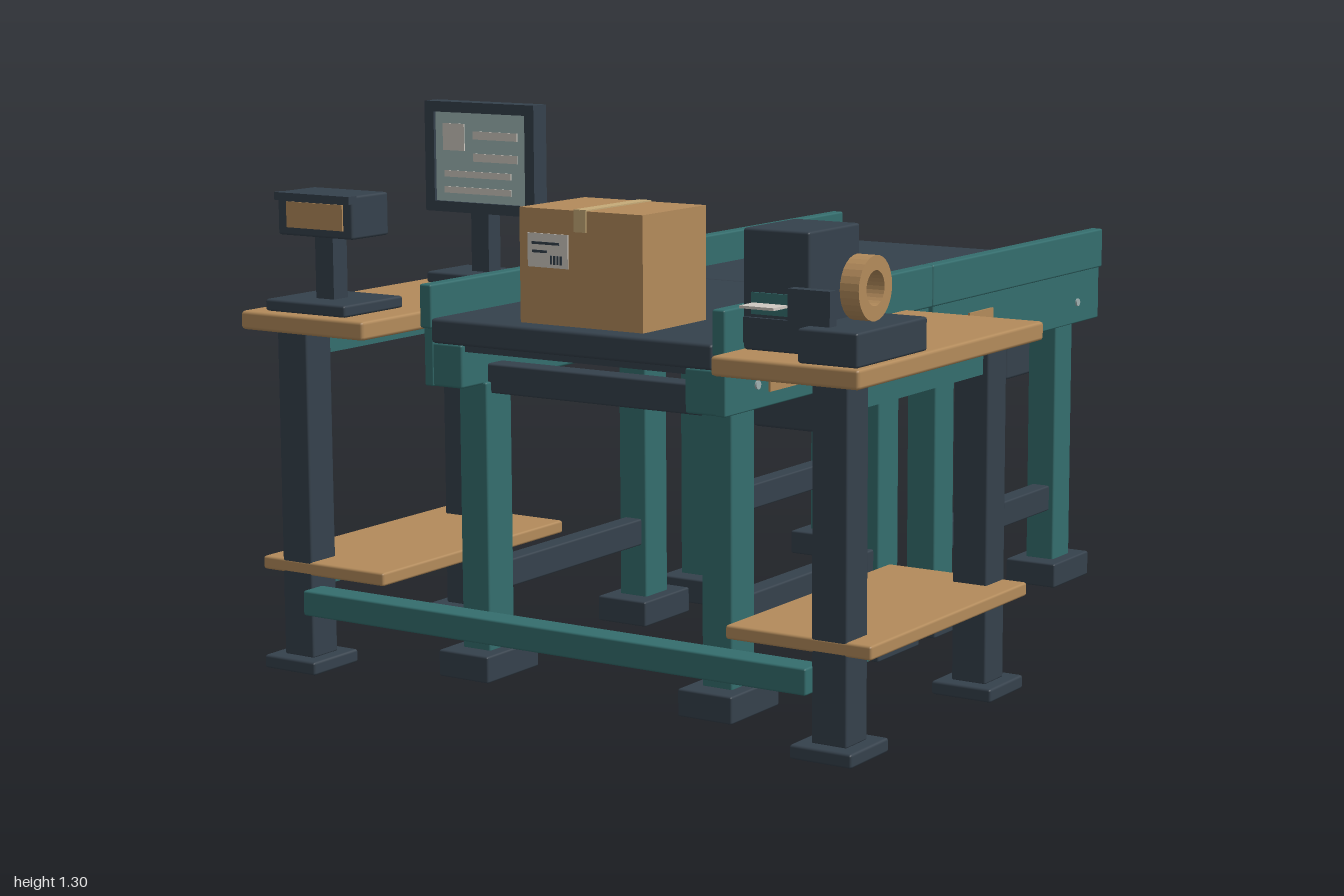
import * as THREE from 'three';
import { RoundedBoxGeometry } from 'three/addons/geometries/RoundedBoxGeometry.js';

const material = (name, color) => Object.assign(new THREE.MeshStandardMaterial({ color }), { name });

export function createModel() {
  const dark = material('slate metal', 0x35414c);
  const teal = material('teal metal', 0x346e6e);
  const tan = material('tan wood and card', 0xb38b5b);
  const screenMat = material('screen', 0xa0b8b7);
  const paper = material('paper', 0xcfcac2);
  const tapeMat = material('packing tape', 0xc6ab78);
  const steel = material('bolt steel', 0x9fb0b0);

  const model = new THREE.Group();
  model.name = 'packingStation';
  const group = (name, parent = model) => {
    const g = new THREE.Group();
    g.name = name;
    parent.add(g);
    return g;
  };
  // Box given by its extents; bevel > 0 softens the edges
  const box = (parent, name, mat, x0, x1, y0, y1, z0, z1, bevel = 0) => {
    const s = [x1 - x0, y1 - y0, z1 - z0];
    const geo = bevel ? new RoundedBoxGeometry(...s, 1, bevel) : new THREE.BoxGeometry(...s);
    const m = new THREE.Mesh(geo, mat);
    m.name = name;
    m.position.set((x0 + x1) / 2, (y0 + y1) / 2, (z0 + z1) / 2);
    parent.add(m);
    return m;
  };
  // Same box on both sides of x = 0
  const pair = (parent, name, mat, x0, x1, ...rest) => {
    box(parent, name + 'Left', mat, x0, x1, ...rest);
    box(parent, name + 'Right', mat, -x1, -x0, ...rest);
  };

  // Two identical conveyor sections, end to end
  for (const [name, z] of [['rearConveyor', -0.535], ['frontConveyor', 0.393]]) {
    const c = group(name);
    c.position.z = z;
    box(c, 'belt', dark, -0.385, 0.385, 0.797, 0.855, -0.464, 0.464, 0.008);
    box(c, 'beltBed', dark, -0.31, 0.31, 0.78, 0.8, -0.44, 0.44);
    pair(c, 'guardRail', teal, 0.383, 0.417, 0.83, 0.932, -0.463, 0.463, 0.005);
    pair(c, 'sideBeam', teal, 0.305, 0.41, 0.695, 0.797, -0.452, 0.452, 0.006);
    pair(c, 'sidePlate', teal, 0.386, 0.412, 0.695, 0.835, -0.454, 0.454, 0.004);
    pair(c, 'ratingPlate', tan, 0.41, 0.417, 0.728, 0.793, 0.152, 0.277);
    for (const end of [-1, 1]) {
      const e = 0.325 * end;
      pair(c, 'leg', teal, 0.296, 0.376, 0.06, 0.7, e - 0.048, e + 0.048, 0.005);
      pair(c, 'foot', dark, 0.264, 0.408, 0, 0.064, e - 0.1, e + 0.1, 0.005);
      box(c, 'crossBeam', dark, -0.31, 0.31, 0.673, 0.742, e - 0.03, e + 0.03, 0.005);
      for (const side of [-1, 1]) {
        const bolt = new THREE.Mesh(new THREE.CylinderGeometry(0.01, 0.01, 0.008, 12), steel);
        bolt.name = 'bolt';
        bolt.rotation.z = Math.PI / 2;
        bolt.position.set(0.413 * side, 0.75, e);
        c.add(bolt);
      }
    }
    pair(c, 'lowerBrace', dark, 0.31, 0.362, 0.195, 0.262, -0.285, 0.285, 0.005);
    box(c, 'motorBox', dark, 0.085, 0.285, 0.552, 0.69, -0.34, -0.175, 0.008);
  }

  // Side tables, each on two posts
  for (const [name, side] of [['leftTable', 1], ['rightTable', -1]]) {
    const t = group(name);
    t.position.x = 0.652 * side;
    const post = 0.078 * side;
    box(t, 'tableTop', tan, -0.182, 0.182, 0.812, 0.856, 0.162, 0.997, 0.008);
    box(t, 'lowerShelf', tan, -0.182, 0.182, 0.23, 0.262, 0.23, 0.94, 0.006);
    for (const z of [0.272, 0.895]) {
      box(t, 'post', dark, post - 0.044, post + 0.044, 0.03, 0.812, z - 0.044, z + 0.044, 0.005);
      box(t, 'postFoot', dark, post - 0.077, post + 0.077, 0, 0.032, z - 0.08, z + 0.08, 0.006);
    }
    box(t, 'shelfRail', teal, post - 0.03, post + 0.03, 0.195, 0.231, 0.3, 0.87);
    box(t, 'topRail', teal, post - 0.03, post + 0.03, 0.748, 0.813, 0.3, 0.87);
  }
  box(model, 'frontTieBar', teal, -0.69, 0.69, 0.14, 0.2, 0.9, 0.968, 0.005);

  // Monitor
  const monitor = group('monitor');
  box(monitor, 'monitorBase', dark, -0.783, -0.545, 0.856, 0.884, 0.2, 0.365, 0.006);
  box(monitor, 'monitorPole', dark, -0.69, -0.637, 0.88, 1.07, 0.252, 0.3);
  box(monitor, 'monitorBody', dark, -0.815, -0.488, 1.035, 1.3, 0.265, 0.302);
  pair(monitor, 'bezelPlaceholder', dark, 0, 0, 0, 0, 0, 0);
  monitor.children.splice(-2).forEach((m) => { m.parent = null; });
  box(monitor, 'bezelTop', dark, -0.82, -0.485, 1.278, 1.304, 0.262, 0.314);
  box(monitor, 'bezelBottom', dark, -0.82, -0.485, 1.03, 1.056, 0.262, 0.314);
  box(monitor, 'bezelRight', dark, -0.82, -0.792, 1.05, 1.28, 0.262, 0.314);
  box(monitor, 'bezelLeft', dark, -0.513, -0.485, 1.05, 1.28, 0.262, 0.314);
  box(monitor, 'screen', screenMat, -0.793, -0.512, 1.055, 1.279, 0.3, 0.306);
  box(monitor, 'screenTile', paper, -0.768, -0.702, 1.183, 1.25, 0.305, 0.309);
  for (const y of [1.223, 1.168]) box(monitor, 'screenLine', paper, -0.675, -0.54, y - 0.01, y + 0.01, 0.305, 0.309);
  for (const y of [1.125, 1.085]) box(monitor, 'screenRow', paper, -0.765, -0.56, y - 0.008, y + 0.008, 0.305, 0.309);

  // Scanner on its stand
  const scanner = group('scanner');
  box(scanner, 'scannerBase', dark, -0.783, -0.545, 0.856, 0.884, 0.755, 0.968, 0.006);
  box(scanner, 'scannerPole', dark, -0.69, -0.637, 0.88, 1.04, 0.845, 0.895);
  box(scanner, 'scannerHead', dark, -0.757, -0.535, 1.034, 1.134, 0.815, 0.946, 0.006);
  box(scanner, 'scannerWindow', tan, -0.728, -0.562, 1.053, 1.113, 0.943, 0.95);
  box(scanner, 'scannerHood', dark, -0.757, -0.535, 1.116, 1.134, 0.93, 0.958);

  // Label printer
  const printer = group('labelPrinter');
  box(printer, 'printerBody', dark, 0.482, 0.648, 0.856, 1.118, 0.675, 0.885, 0.006);
  box(printer, 'printerLip', dark, 0.488, 0.642, 0.873, 0.928, 0.88, 0.894);
  box(printer, 'printerSlot', teal, 0.505, 0.632, 0.935, 0.982, 0.884, 0.89);
  box(printer, 'printedLabel', paper, 0.51, 0.596, 0.954, 0.96, 0.886, 0.945);

  // Tape dispenser with an open ring of tape
  const dispenser = group('tapeDispenser');
  box(dispenser, 'dispenserBase', dark, 0.68, 0.826, 0.856, 0.93, 0.693, 0.988, 0.006);
  box(dispenser, 'cutter', dark, 0.632, 0.735, 0.9, 1.005, 0.92, 0.948);
  const ringShape = new THREE.Shape().absarc(0, 0, 0.07, 0, Math.PI * 2);
  ringShape.holes.push(new THREE.Path().absarc(0, 0, 0.038, 0, Math.PI * 2, true));
  const ring = new THREE.Mesh(new THREE.ExtrudeGeometry(ringShape, { depth: 0.046, bevelEnabled: false, curveSegments: 14 }), tan);
  ring.name = 'tapeRoll';
  ring.rotation.y = Math.PI / 2;
  ring.position.set(0.729, 1.002, 0.828);
  dispenser.add(ring);

  // Parcel with tape and address label
  const parcel = group('parcel');
  box(parcel, 'carton', tan, -0.17, 0.166, 0.855, 1.118, 0.545, 0.8);
  box(parcel, 'tapeTop', tapeMat, -0.018, 0.015, 1.116, 1.121, 0.543, 0.802);
  box(parcel, 'tapeFront', tapeMat, -0.018, 0.015, 1.07, 1.12, 0.798, 0.803);
  box(parcel, 'tapeBack', tapeMat, -0.018, 0.015, 1.07, 1.12, 0.542, 0.547);
  box(parcel, 'addressLabel', paper, -0.146, -0.035, 0.985, 1.062, 0.798, 0.803);
  box(parcel, 'addressLine', dark, -0.133, -0.058, 1.037, 1.043, 0.802, 0.805);
  box(parcel, 'addressLine', dark, -0.133, -0.092, 1.018, 1.024, 0.802, 0.805);
  for (let i = 0; i < 4; i++) {
    const x = -0.083 + i * 0.009;
    box(parcel, 'barcodeBar', dark, x, x + 0.005, 0.993, 1.013, 0.802, 0.805);
  }

  return model;
}
